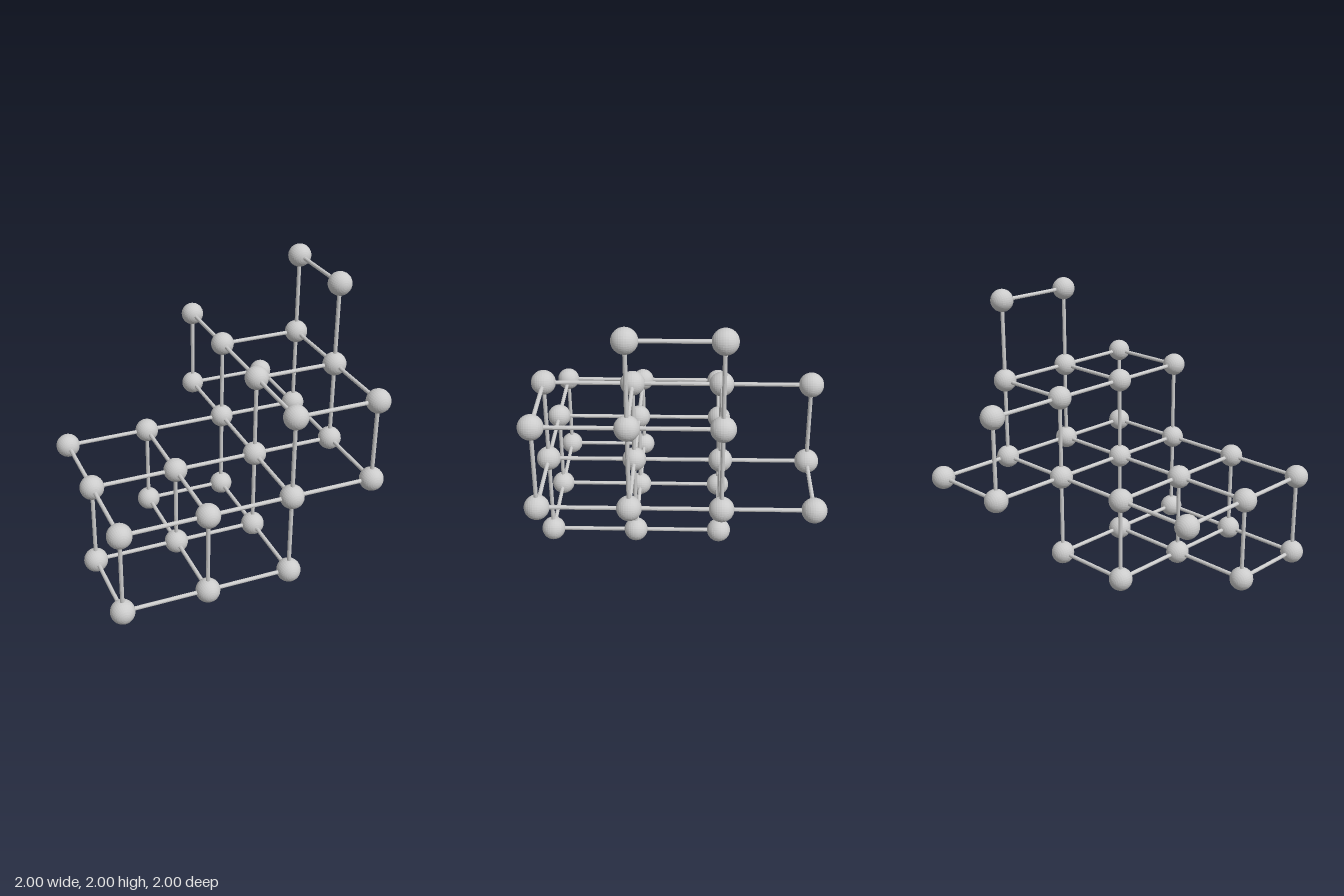
import * as THREE from 'three';

const STEP = 0.61, BALL_R = 0.085, ROD_R = 0.0145;

// Lattice layers from bottom to top; each row runs front to back,
// each character runs from -x to +x ('o' = ball present).
const LAYERS = [
  ['ooo.', 'ooo.', '.oo.', '....'],
  ['oooo', 'oooo', 'oooo', '..oo'],
  ['..oo', '..oo', '..oo', '..o.'],
  ['....', '...o', '...o', '....'],
];

const has = (i, j, k) => LAYERS[j]?.[k]?.[i] === 'o';
const place = (i, j, k) => new THREE.Vector3((i - 1.5) * STEP, BALL_R + j * STEP, (1.5 - k) * STEP);

export function createModel() {
  const model = new THREE.Group();
  model.name = 'ballAndRodLattice';
  const balls = new THREE.Group();
  balls.name = 'balls';
  const rods = new THREE.Group();
  rods.name = 'rods';
  model.add(balls, rods);

  const material = new THREE.MeshStandardMaterial({ color: 0xcccccc, flatShading: true });

  // Ball with its poles along z
  const ballGeometry = new THREE.SphereGeometry(BALL_R, 32, 16).rotateX(Math.PI / 2);

  // One rod per axis direction, open at the ends buried in the balls
  const rod = () => new THREE.CylinderGeometry(ROD_R, ROD_R, STEP, 12, 1, true);
  const directions = [
    { step: [1, 0, 0], name: 'rodAcross', geometry: rod().rotateZ(Math.PI / 2) },
    { step: [0, 1, 0], name: 'rodUpright', geometry: rod() },
    { step: [0, 0, 1], name: 'rodDeep', geometry: rod().rotateX(Math.PI / 2) },
  ];

  for (let j = 0; j < 4; j++) {
    for (let k = 0; k < 4; k++) {
      for (let i = 0; i < 4; i++) {
        if (!has(i, j, k)) continue;
        const here = place(i, j, k);
        const ball = new THREE.Mesh(ballGeometry, material);
        ball.name = 'ball';
        ball.position.copy(here);
        balls.add(ball);

        // Join to each neighbour further along an axis
        for (const { step, name, geometry } of directions) {
          const next = [i + step[0], j + step[1], k + step[2]];
          if (!has(...next)) continue;
          const link = new THREE.Mesh(geometry, material);
          link.name = name;
          link.position.copy(here).lerp(place(...next), 0.5);
          rods.add(link);
        }
      }
    }
  }
  return model;
}
